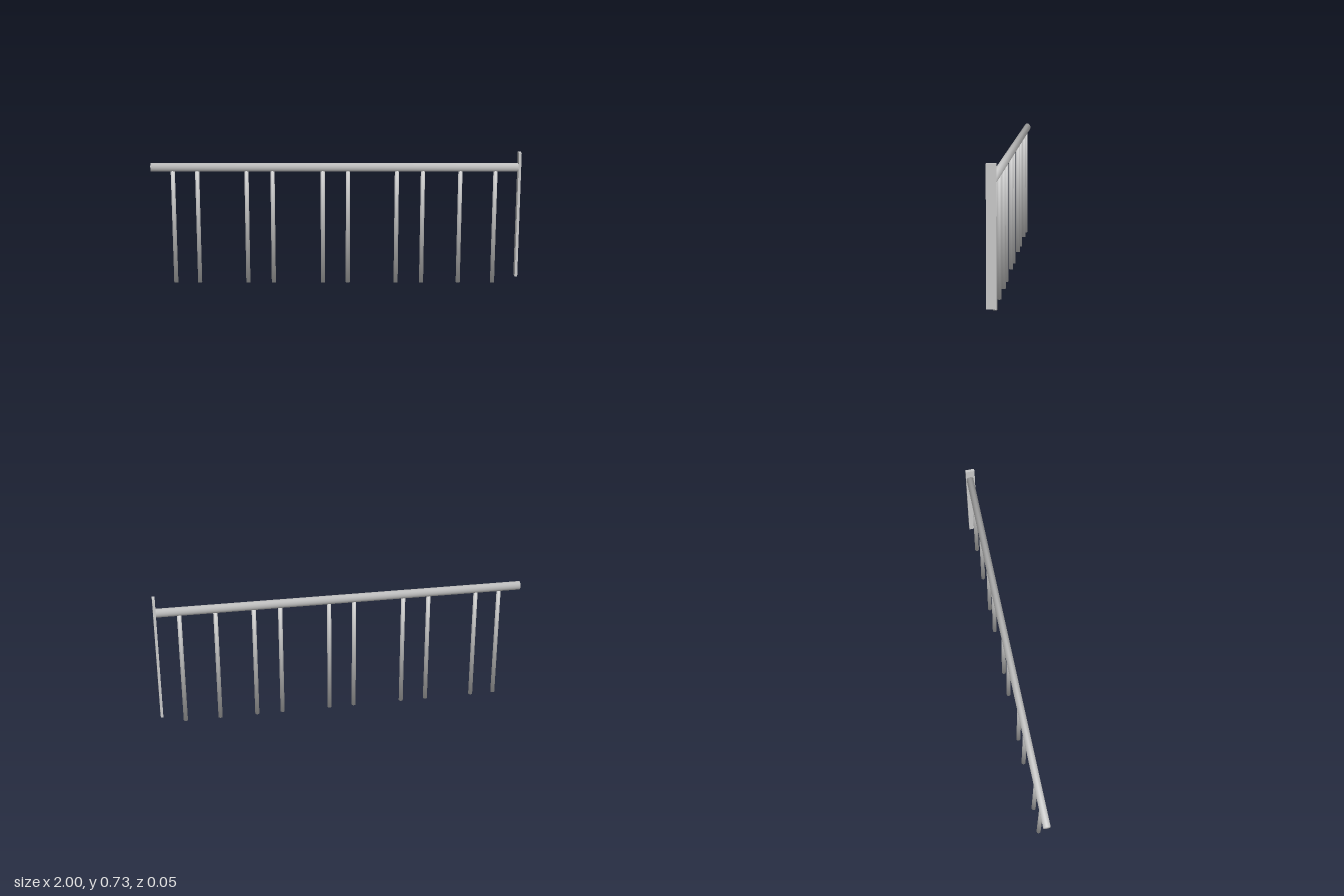
import * as THREE from 'three';

// Capped cylinder whose shading rolls over into its end caps
function softRod(radius, length, sides) {
  const geo = new THREE.CylinderGeometry(radius, radius, length, sides);
  const pos = geo.attributes.position;
  const n = new THREE.Vector3();
  for (let i = 0; i < pos.count; i++) {
    n.set(pos.getX(i) / radius, Math.sign(pos.getY(i)) * 0.8, pos.getZ(i) / radius).normalize();
    geo.attributes.normal.setXYZ(i, n.x, n.y, n.z);
  }
  return geo;
}

export function createModel() {
  const group = new THREE.Group();
  const steel = new THREE.MeshStandardMaterial({ color: 0xc8c8c8 });
  steel.name = 'brushed steel grey';

  const add = (name, geo, x, y, z) => {
    const mesh = new THREE.Mesh(geo, steel);
    mesh.name = name;
    mesh.position.set(x, y, z);
    group.add(mesh);
    return mesh;
  };

  // Horizontal handrail, slightly taller than deep
  const railGeo = softRod(0.024, 1.986, 24);
  railGeo.rotateZ(Math.PI / 2);
  railGeo.scale(1, 1, 0.8);
  add('handrail', railGeo, -0.007, 0.646, -0.003);

  // Upright posts
  const postHeight = 0.63;
  const postGeo = softRod(0.0115, postHeight, 16);
  const postX = [-0.882, -0.75, -0.483, -0.342, -0.07, 0.067, 0.332, 0.473, 0.676, 0.866];
  postX.forEach((x, i) => add(`post${i + 1}`, postGeo, x, postHeight / 2, -0.003));

  // Flat end plate
  add('endPlate', new THREE.BoxGeometry(0.014, 0.69, 0.049), 0.993, 0.385, 0);

  return group;
}
